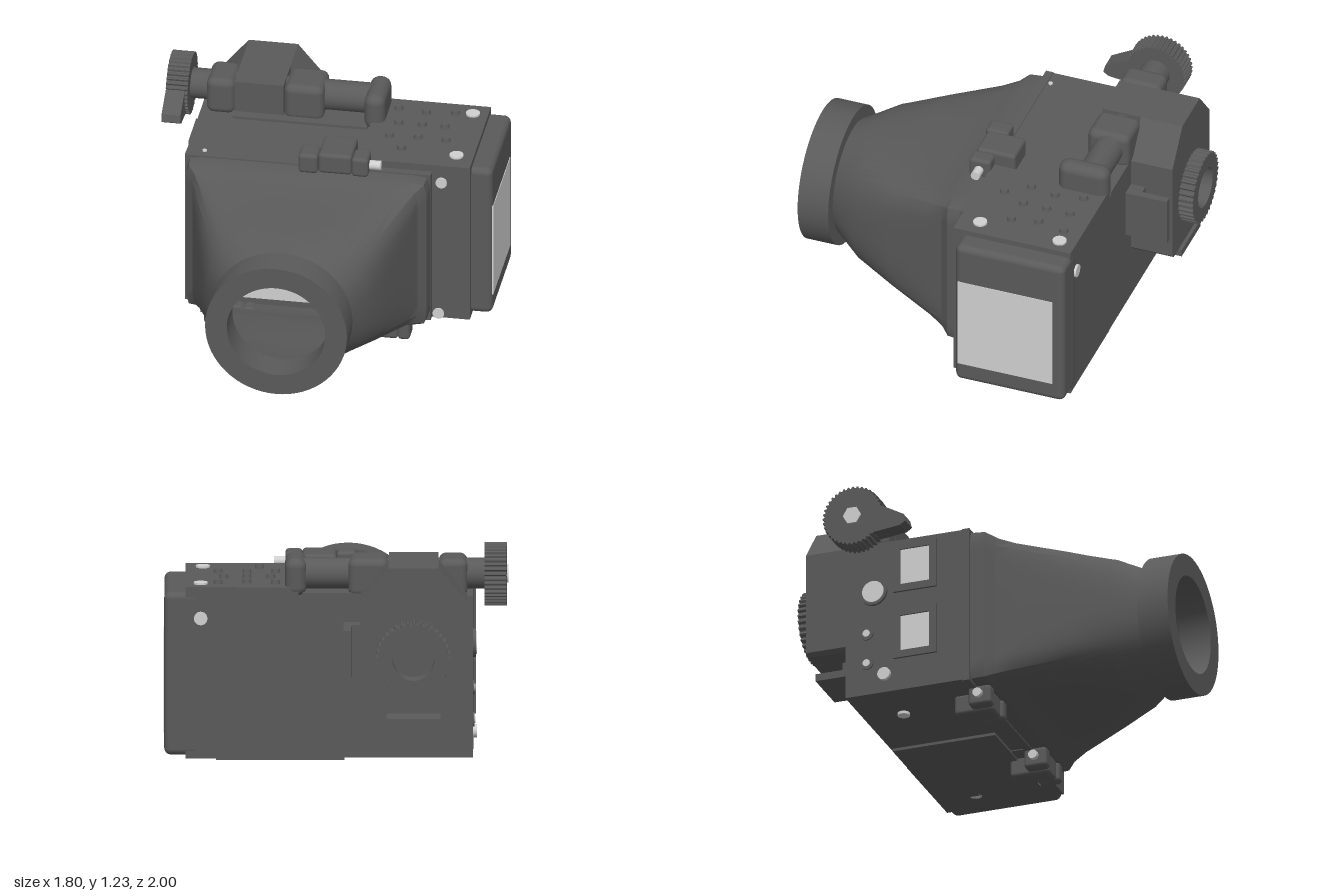
import * as THREE from 'three';
import { toCreasedNormals } from 'three/addons/utils/BufferGeometryUtils.js';
import { RoundedBoxGeometry } from 'three/addons/geometries/RoundedBoxGeometry.js';

export function createModel() {
  const model = new THREE.Group();
  const dark = new THREE.MeshStandardMaterial({ color: 0x5a5a5a });
  dark.name = 'dark grey casing';
  const hoodMat = new THREE.MeshStandardMaterial({ color: 0x5a5a5a, side: THREE.DoubleSide });
  hoodMat.name = 'dark grey hood shell';
  const light = new THREE.MeshStandardMaterial({ color: 0xd0d0d0 });
  light.name = 'light grey metal and glass';

  const add = (name, geo, mat = dark) => {
    const m = new THREE.Mesh(geo, mat);
    m.name = name;
    model.add(m);
    return m;
  };
  // Box given by its limits, optionally with rounded edges
  const box = (name, x0, x1, y0, y1, z0, z1, mat = dark, r = 0) => {
    const s = [x1 - x0, y1 - y0, z1 - z0];
    const g = r ? new RoundedBoxGeometry(...s, 3, r) : new THREE.BoxGeometry(...s);
    g.translate((x0 + x1) / 2, (y0 + y1) / 2, (z0 + z1) / 2);
    return add(name, g, mat);
  };
  // Cylinder centred at p along axis 'x', 'y' or 'z'
  const rod = (name, axis, p, r, len, mat = dark, r2 = r, n = 24) => {
    const g = new THREE.CylinderGeometry(r2, r, len, n);
    if (axis === 'x') g.rotateZ(-Math.PI / 2);
    if (axis === 'z') g.rotateX(Math.PI / 2);
    g.translate(...p);
    return add(name, g, mat);
  };
  const extrude = (shape, depth) => new THREE.ExtrudeGeometry(shape, { depth, bevelEnabled: false, curveSegments: 24 });
  // Knurled disc outline with an optional hole
  const knurl = (r, teeth, hole) => {
    const pts = [];
    for (let i = 0; i < teeth * 4; i++) {
      const a = (i / (teeth * 4)) * Math.PI * 2, q = i % 4 < 2 ? r : r * 0.94;
      pts.push(new THREE.Vector2(q * Math.cos(a), q * Math.sin(a)));
    }
    const s = new THREE.Shape(pts);
    if (hole) s.holes.push(new THREE.Path().absarc(0, 0, hole, 0, Math.PI * 2, true));
    return s;
  };

  // Camera body and its thicker right-hand section
  box('body', -0.72, 0.58, 0.11, 0.97, -0.69, -0.04);
  box('controlSection', 0.19, 0.78, 0.105, 1.015, -0.69, -0.04);
  box('sideCap', 0.7, 0.89, 0.12, 0.985, -0.692, -0.085, dark, 0.035);
  box('sidePanel', 0.885, 0.893, 0.23, 0.76, -0.63, -0.105, light);
  box('basePlate', -0.05, 0.62, 0.095, 0.12, -0.68, -0.11);
  box('hoodFrame', -0.72, 0.58, 0.105, 0.975, -0.04, 0);

  // Viewing hood, blending from a rectangle to a circle
  const cx = -0.065, cy = 0.54, N = 96;
  const stations = [ // z, half width, half height, squareness
    [-0.01, 0.643, 0.428, 30], [0.075, 0.635, 0.425, 30], [0.12, 0.595, 0.41, 20],
    [0.2, 0.57, 0.39, 12], [0.45, 0.495, 0.365, 5], [0.67, 0.42, 0.35, 2.8], [0.84, 0.3, 0.3, 2],
  ];
  const pos = [], idx = [];
  stations.forEach(([z, hx, hy, n], j) => {
    for (let i = 0; i <= N; i++) {
      const a = (i / N) * Math.PI * 2, c = Math.cos(a), s = Math.sin(a);
      const r = (Math.abs(c / hx) ** n + Math.abs(s / hy) ** n) ** (-1 / n);
      pos.push(cx + r * c, cy + r * s, z);
      if (j && i < N) {
        const b = j * (N + 1) + i, d = b - N - 1;
        idx.push(d, d + 1, b, d + 1, b + 1, b);
      }
    }
  });
  const hood = new THREE.BufferGeometry();
  hood.setAttribute('position', new THREE.Float32BufferAttribute(pos, 3));
  hood.setIndex(idx);
  add('hood', toCreasedNormals(hood, 0.4), hoodMat);
  box('screen', cx - 0.6, cx + 0.6, 0.15, 0.93, 0, 0.006, light);

  // Eyepiece ring
  const ring = [[0.26, 0], [0.375, 0], [0.375, 0.17], [0.26, 0.17], [0.26, 0]].map(p => new THREE.Vector2(...p));
  const ringGeo = new THREE.LatheGeometry(ring, 64);
  ringGeo.rotateX(Math.PI / 2);
  ringGeo.translate(cx, cy, 0.83);
  add('eyepieceRing', toCreasedNormals(ringGeo, 0.5));

  // Hinges above and below the hood frame: three knuckles and a pin
  const hinge = (x0, x1, yPin, s, endX) => {
    const w = x1 - x0, a = x0 + w * 0.28, b = x1 - w * 0.24;
    const span = (u, v) => [Math.min(yPin + s * u, yPin + s * v), Math.max(yPin + s * u, yPin + s * v)];
    box('hingeKnuckle', x0, a, ...span(-0.05, 0.06), -0.05, 0.075, dark, 0.02);
    box('hingeLeaf', a, b, ...span(-0.05, 0.065), -0.155, 0.06, dark, 0.02);
    box('hingeKnuckle', b, x1, ...span(-0.05, 0.06), -0.05, 0.07, dark, 0.02);
    rod('hingePin', 'x', [endX, yPin, 0.01], 0.025, 0.07, light, 0.025, 12);
  };
  hinge(-0.11, 0.26, 1.015, 1, 0.285);
  hinge(-0.61, -0.34, 0.07, -1, -0.6);
  hinge(0.21, 0.48, 0.07, -1, 0.22);

  // Buttons on top
  [[0.31, -0.59], [0.46, -0.57], [0.61, -0.59], [0.335, -0.44], [0.46, -0.44], [0.58, -0.44],
    [0.31, -0.3], [0.46, -0.31], [0.61, -0.3], [0.395, -0.18]].forEach(([x, z]) =>
    rod('button', 'y', [x, 1.022, z], 0.026, 0.03, dark, 0.02, 16));

  // Screws
  [[0.7, -0.6], [0.69, -0.155]].forEach(([x, z]) => rod('topScrew', 'y', [x, 1.015, z], 0.037, 0.02, light));
  [[0.63, 0.915], [0.615, 0.13]].forEach(([x, y]) => rod('frontScrew', 'z', [x, y, -0.04], 0.03, 0.02, light));
  [[0.62, -0.47], [-0.44, -0.47], [0.6, -0.08]].forEach(([x, z]) => rod('baseScrew', 'y', [x, 0.105, z], 0.032, 0.02, light));
  rod('backScrew', 'z', [0.7, 0.85, -0.695], 0.035, 0.015, light);
  rod('smallScrew', 'y', [-0.625, 0.97, -0.06], 0.012, 0.015, light, 0.012, 10);

  // Windows, dial and sockets on the left-hand end
  [0.81, 0.43].forEach(y => {
    const frame = new THREE.Shape([[-0.12, -0.14], [0.12, -0.14], [0.12, 0.14], [-0.12, 0.14]].map(p => new THREE.Vector2(...p)));
    frame.holes.push(new THREE.Path([[-0.08, -0.1], [-0.08, 0.1], [0.08, 0.1], [0.08, -0.1]].map(p => new THREE.Vector2(...p))));
    const g = extrude(frame, 0.015);
    g.rotateY(-Math.PI / 2);
    g.translate(-0.718, y, -0.3);
    add('windowFrame', g);
    box('window', -0.724, -0.717, y - 0.1, y + 0.1, -0.38, -0.22, light);
  });
  rod('dial', 'x', [-0.725, 0.69, -0.53], 0.075, 0.02);
  rod('dialFace', 'x', [-0.735, 0.69, -0.53], 0.06, 0.008, light);
  [[0.46, -0.57], [0.29, -0.57]].forEach(([y, z]) => {
    rod('socket', 'x', [-0.72, y, z], 0.038, 0.015);
    rod('socketCentre', 'x', [-0.727, y, z], 0.02, 0.008, light);
  });
  rod('sideKnob', 'x', [-0.725, 0.21, -0.47], 0.035, 0.03, light);

  // Rear mount with chamfered shoulders and knurled socket
  const mount = new THREE.Shape([[-0.69, 0.42], [-0.67, 0.4], [-0.15, 0.4], [-0.13, 0.42], [-0.13, 0.98],
    [-0.28, 1.16], [-0.54, 1.16], [-0.69, 0.98]].map(p => new THREE.Vector2(...p)));
  mount.holes.push(new THREE.Path().absarc(-0.41, 0.69, 0.11, 0, Math.PI * 2, true));
  const mountGeo = extrude(mount, 0.23);
  mountGeo.translate(0, 0, -0.92);
  add('rearMount', mountGeo);
  const socket = extrude(knurl(0.195, 36, 0.11), 0.08);
  socket.translate(-0.41, 0.69, -1);
  add('knurledSocket', socket);
  box('socketFloor', -0.53, -0.29, 0.57, 0.81, -0.9, -0.86);
  box('sideTabFoot', -0.14, -0.045, 0.56, 0.83, -0.77, -0.69);
  box('sideTab', -0.085, -0.045, 0.56, 0.83, -0.92, -0.69);
  box('lowerTabFoot', -0.55, -0.27, 0.32, 0.41, -0.77, -0.69);
  box('lowerTab', -0.55, -0.27, 0.32, 0.36, -0.92, -0.69);

  // Clamp arm and shaft across the top
  box('clampArm', -0.54, -0.28, 0.96, 1.16, -0.9, -0.475);
  box('clampBlock', -0.69, -0.54, 0.96, 1.163, -0.695, -0.465, dark, 0.04);
  box('clampBlock', -0.28, -0.07, 0.96, 1.163, -0.695, -0.465, dark, 0.04);
  box('shaftEnd', 0.15, 0.26, 0.96, 1.163, -0.695, -0.42, dark, 0.05);
  box('clampBase', -0.54, 0.17, 0.96, 0.985, -0.69, -0.42);
  rod('shaft', 'x', [-0.3, 1.07, -0.585], 0.08, 1.0);
  rod('shaftCollar', 'x', [0.05, 1.07, -0.585], 0.07, 0.24);

  // Knurled knob with a lever tapering forward
  const knob = extrude(knurl(0.165, 40), 0.115);
  knob.rotateY(Math.PI / 2);
  knob.translate(-0.895, 1.067, -0.585);
  add('knob', knob);
  const lever = new THREE.Shape([[-0.58, 1.2], [-0.46, 1.12], [-0.3, 1.03], [-0.29, 0.99], [-0.32, 0.97], [-0.58, 0.94]]
    .map(([z, y]) => new THREE.Vector2(-z, y)));
  const leverGeo = extrude(lever, 0.1);
  leverGeo.rotateY(Math.PI / 2);
  leverGeo.translate(-0.895, 0, 0);
  add('knobLever', leverGeo);
  rod('knobCap', 'x', [-0.896, 1.067, -0.585], 0.05, 0.014, light, 0.05, 6);

  return model;
}
